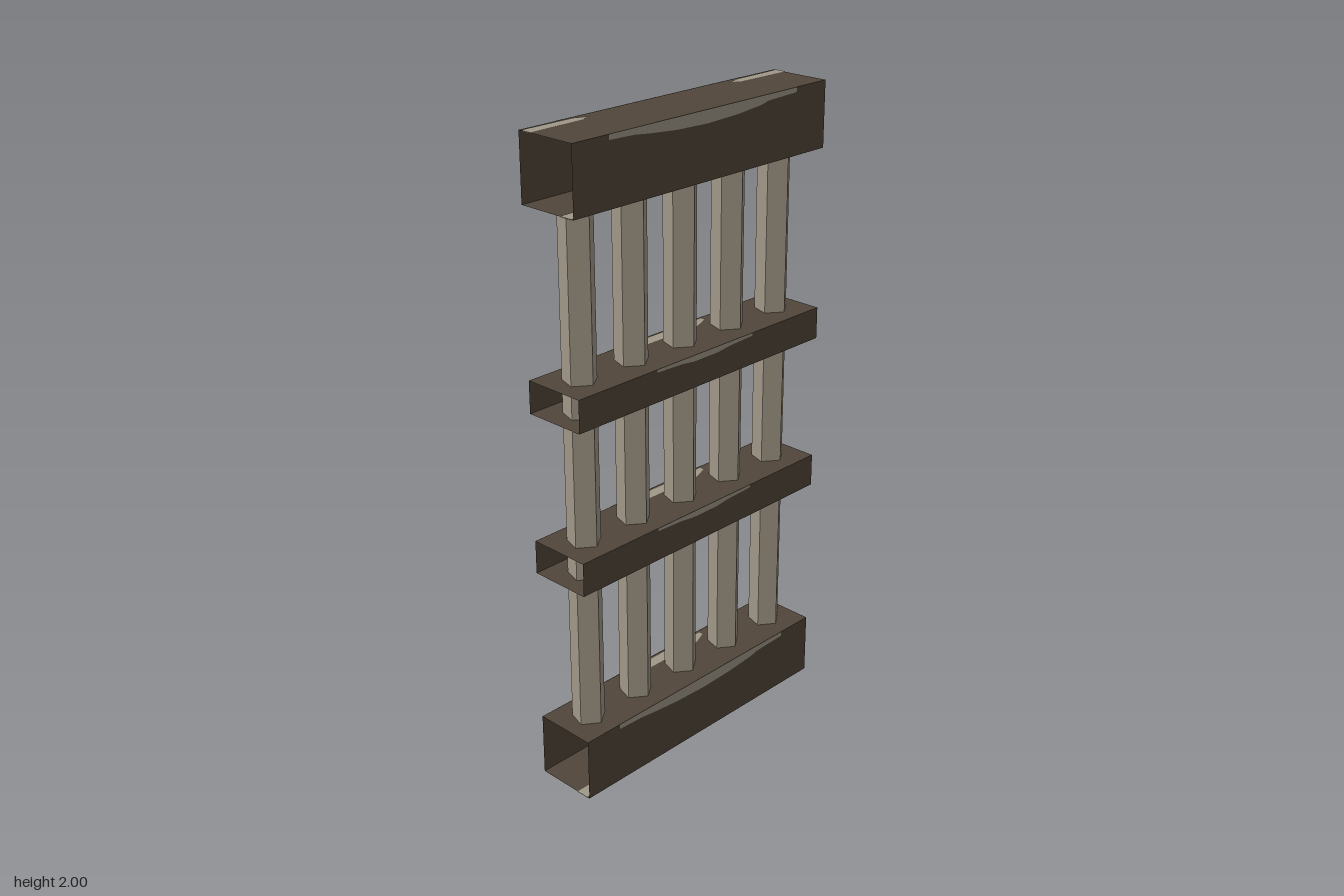
import * as THREE from 'three';

const darkWood = new THREE.MeshStandardMaterial({ color: 0x50463a, side: THREE.DoubleSide });
const paleWood = new THREE.MeshStandardMaterial({ color: 0xa09787, side: THREE.DoubleSide });
darkWood.name = 'darkWood';
paleWood.name = 'paleWood';

const LENGTH = 1, DEPTH = 0.2;

// Worn patches, in wall coordinates (u along the wall, v across it)
const wideWear = [[-0.37, 0], [-0.37, -0.015], [-0.28, -0.018], [-0.22, -0.025], [-0.12, -0.034],
  [0, -0.038], [0.12, -0.034], [0.22, -0.025], [0.25, -0.018], [0.37, -0.014], [0.37, 0]];
const narrowWear = [[-0.2, 0], [-0.2, -0.008], [-0.1, -0.012], [-0.05, -0.018], [0.05, -0.018],
  [0.1, -0.012], [0.2, -0.008], [0.2, 0]];
const centreWear = [[-0.18, 0.09], [-0.18, 0.075], [-0.13, 0.055], [0.13, 0.055], [0.18, 0.075], [0.18, 0.09]];
const endWear = [[0.5, 0.09], [0.32, 0.088], [0.3, 0.078], [0.27, 0.071], [0.3, 0.064], [0.31, 0.056], [0.5, 0.052]];
const undersideWear = [[-0.5, 0.09], [0.08, 0.09], [0.02, 0.075], [-0.1, 0.055], [-0.5, 0.05]];
const mirrored = (points) => points.map(([u, v]) => [-u, v]);

// A flat wall with wear showing on both of its sides
function makeWall(name, height, patches) {
  const wall = new THREE.Group();
  wall.name = name;
  const panel = new THREE.Mesh(new THREE.PlaneGeometry(LENGTH, height), darkWood);
  panel.name = name + 'Panel';
  wall.add(panel);
  for (const points of patches) {
    const geometry = new THREE.ShapeGeometry(new THREE.Shape(points.map(([u, v]) => new THREE.Vector2(u, v))));
    for (const offset of [-0.0015, 0.0015]) {
      const patch = new THREE.Mesh(geometry, paleWood);
      patch.name = 'wornPatch';
      patch.position.z = offset;
      wall.add(patch);
    }
  }
  return wall;
}

// A hollow beam, open at both ends
function makeRail({ name, bottom, height, edge, top, under }) {
  const rail = new THREE.Group();
  rail.name = name;
  rail.position.y = bottom + height / 2;
  const edgeWear = [edge.map(([u, v]) => [u, v + height / 2])];

  const front = makeWall('frontWall', height, edgeWear);
  front.position.z = DEPTH / 2;
  const back = makeWall('backWall', height, edgeWear);
  back.position.z = -DEPTH / 2;
  back.rotation.y = Math.PI;
  const upper = makeWall('topWall', DEPTH, top);
  upper.position.y = height / 2;
  upper.rotation.x = -Math.PI / 2;
  const lower = makeWall('bottomWall', DEPTH, under);
  lower.position.y = -height / 2;
  lower.rotation.x = Math.PI / 2;

  rail.add(front, back, upper, lower);
  return rail;
}

export function createModel() {
  const model = new THREE.Group();
  model.name = 'barredGate';

  // Four horizontal rails
  const rails = [
    { name: 'bottomRail', bottom: 0, height: 0.2, edge: wideWear, top: [centreWear], under: [undersideWear] },
    { name: 'lowerCrossRail', bottom: 0.695, height: 0.105, edge: narrowWear, top: [centreWear], under: [] },
    { name: 'upperCrossRail', bottom: 1.2, height: 0.1, edge: narrowWear, top: [centreWear], under: [] },
    { name: 'topRail', bottom: 1.8, height: 0.2, edge: wideWear, top: [endWear, mirrored(endWear)], under: [undersideWear] },
  ];
  for (const rail of rails) model.add(makeRail(rail));

  // Five five-sided upright bars, with a ridge facing the front
  const barGeometry = new THREE.CylinderGeometry(0.052, 0.052, 1.6, 5, 1, true).toNonIndexed();
  barGeometry.computeVertexNormals();
  for (let i = -2; i <= 2; i++) {
    const bar = new THREE.Mesh(barGeometry, paleWood);
    bar.name = 'uprightBar';
    bar.position.set(i * 0.2, 1, 0);
    model.add(bar);
  }
  return model;
}
